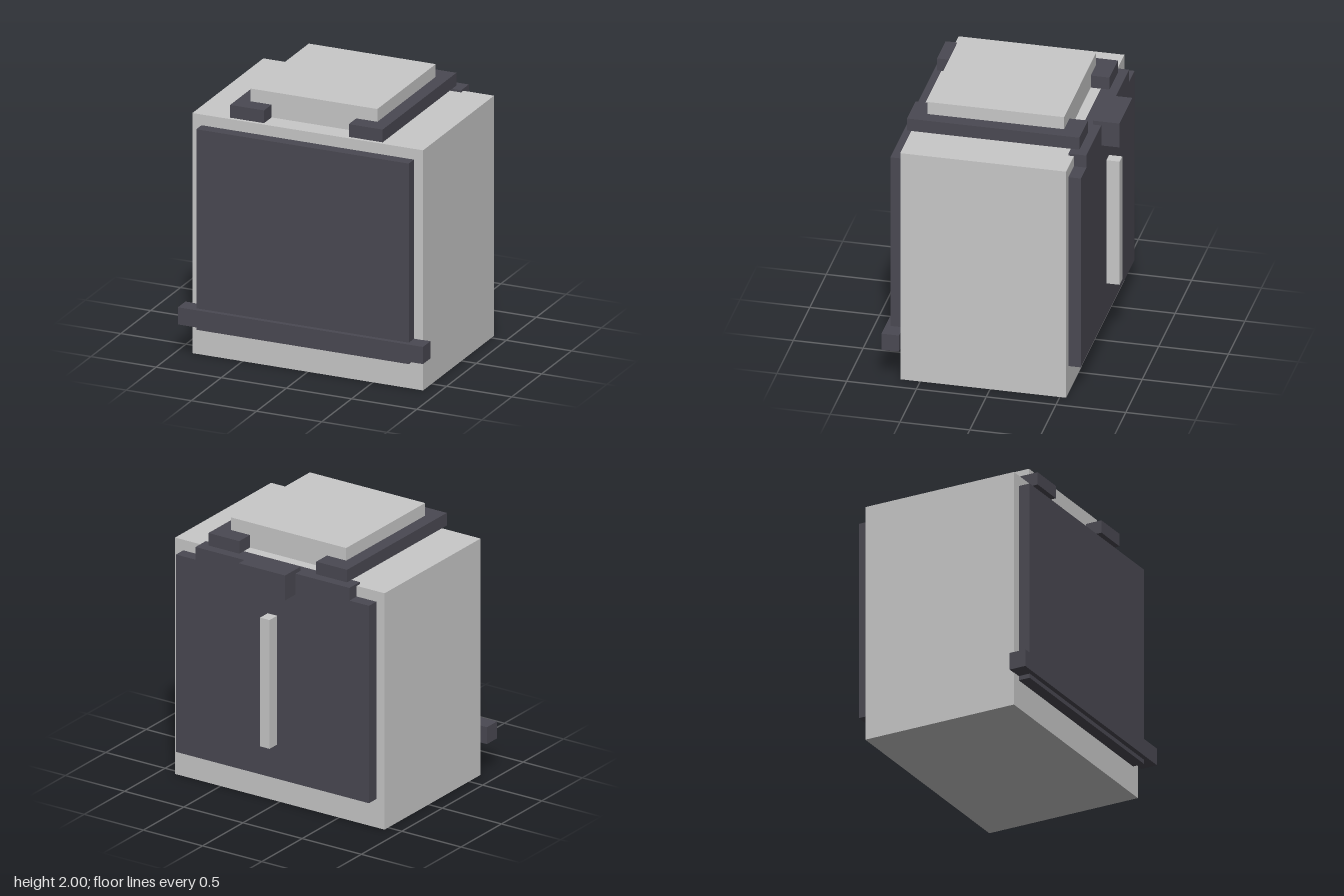
import * as THREE from 'three';

export function createModel() {
  const model = new THREE.Group();
  model.name = 'boxUnit';
  const lightGrey = new THREE.MeshStandardMaterial({ color: 0xc8c8c8 });
  lightGrey.name = 'lightGrey';
  const darkGrey = new THREE.MeshStandardMaterial({ color: 0x4a4952 });
  darkGrey.name = 'darkGrey';

  // Box given by its extents on each axis
  const addBox = (name, material, [x0, x1], [y0, y1], [z0, z1]) => {
    const mesh = new THREE.Mesh(new THREE.BoxGeometry(x1 - x0, y1 - y0, z1 - z0), material);
    mesh.position.set((x0 + x1) / 2, (y0 + y1) / 2, (z0 + z1) / 2);
    mesh.name = name;
    model.add(mesh);
  };

  // Main body with front and back panels
  addBox('body', lightGrey, [-0.885, 0.885], [0, 1.79], [-0.545, 0.643]);
  addBox('frontPanel', darkGrey, [-0.815, 0.815], [0.215, 1.71], [0.643, 0.73]);
  addBox('frontBar', darkGrey, [-0.94, 0.94], [0.247, 0.375], [0.64, 0.765]);
  addBox('backPanel', darkGrey, [-0.815, 0.815], [0.215, 1.71], [-0.635, -0.545]);

  // Hinge ledge, latch block and grip on the back
  addBox('backLedge', darkGrey, [-0.65, 0.65], [1.71, 1.806], [-0.635, -0.507]);
  addBox('latchBlock', darkGrey, [-0.195, 0.195], [1.648, 1.837], [-0.765, -0.575]);
  addBox('backGrip', lightGrey, [-0.04, 0.04], [0.475, 1.45], [-0.73, -0.635]);

  // Raised lid held between two C-shaped brackets
  addBox('lid', lightGrey, [-0.487, 0.487], [1.81, 2], [-0.437, 0.54]);
  const outline = [[0.325, -0.57], [0.585, -0.57], [0.585, 0.665], [0.325, 0.665],
    [0.325, 0.54], [0.487, 0.54], [0.487, -0.437], [0.325, -0.437]];
  for (const side of [1, -1]) {
    const shape = new THREE.Shape(outline.map(([x, z]) => new THREE.Vector2(side * x, -z)));
    const geometry = new THREE.ExtrudeGeometry(shape, { depth: 0.095, bevelEnabled: false });
    geometry.rotateX(-Math.PI / 2).translate(0, 1.81, 0);
    const bracket = new THREE.Mesh(geometry, darkGrey);
    bracket.name = side > 0 ? 'leftBracket' : 'rightBracket';
    model.add(bracket);
  }
  return model;
}
